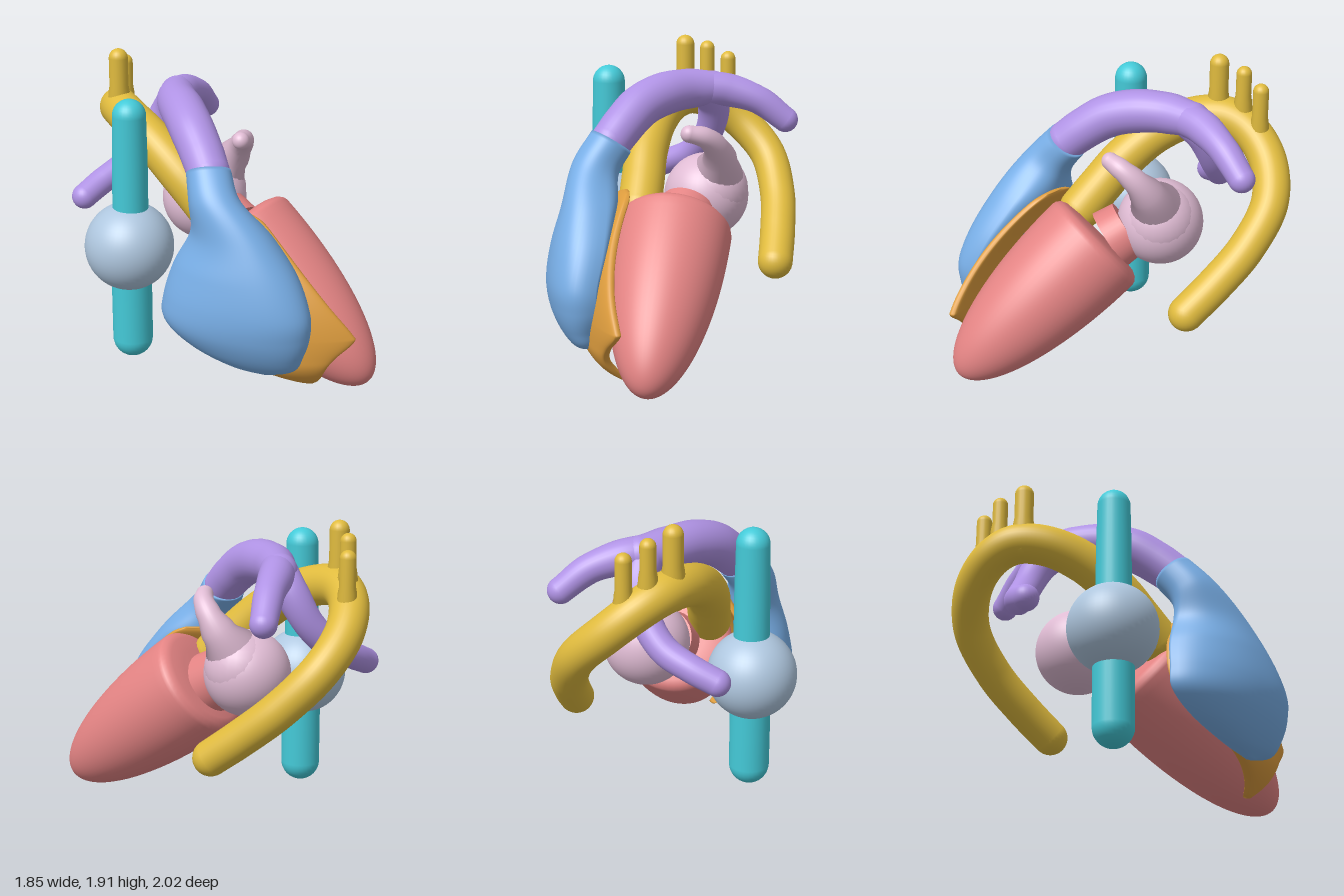
import * as THREE from 'three';
import { mergeGeometries } from 'three/addons/utils/BufferGeometryUtils.js';

const mat = (name, color) => {
  const m = new THREE.MeshStandardMaterial({ color });
  m.name = name;
  return m;
};

// Signed power, used to square off round sections
const spow = (v, p) => Math.sign(v) * Math.abs(v) ** p;

// Tapered tube with rounded ends through control points [x, y, z, radius]
function taperTube(points, steps = 60, sides = 28) {
  const curve = new THREE.CatmullRomCurve3(points.map(p => new THREE.Vector3(p[0], p[1], p[2])));
  const geo = new THREE.TubeGeometry(curve, steps, 1, sides);
  const pos = geo.attributes.position;
  const v = new THREE.Vector3();
  const last = points.length - 1;
  for (let i = 0; i <= steps; i++) {
    const c = curve.getPointAt(i / steps);
    const t = curve.getUtoTmapping(i / steps) * last;
    const k = Math.min(Math.floor(t), last - 1);
    const f = THREE.MathUtils.smoothstep(t - k, 0, 1);
    const r = THREE.MathUtils.lerp(points[k][3], points[k + 1][3], f);
    for (let j = 0; j <= sides; j++) {
      const n = i * (sides + 1) + j;
      v.fromBufferAttribute(pos, n).sub(c).multiplyScalar(r).add(c);
      pos.setXYZ(n, v.x, v.y, v.z);
    }
  }
  const caps = [points[0], points[last]].map(p =>
    new THREE.SphereGeometry(p[3], sides, 18).translate(p[0], p[1], p[2]));
  return mergeGeometries([geo, ...caps]);
}

// Closed skin over smoothly interpolated rows; place(row, angle) gives each point
function loft(rows, place, steps = 60, sides = 56) {
  const size = rows[0].length;
  const spline = new THREE.CubicInterpolant(rows.map((_, i) => i), rows.flat(), size, new Float32Array(size));
  const verts = [], idx = [];
  for (let i = 0; i <= steps; i++) {
    const row = Array.from(spline.evaluate((i / steps) * (rows.length - 1)));
    for (let j = 0; j < sides; j++) verts.push(...place(row, (j / sides) * Math.PI * 2));
  }
  const at = (i, j) => i * sides + (j % sides);
  for (let i = 0; i < steps; i++) {
    for (let j = 0; j < sides; j++) {
      idx.push(at(i, j), at(i, j + 1), at(i + 1, j), at(i, j + 1), at(i + 1, j + 1), at(i + 1, j));
    }
  }
  // end caps
  for (const i of [0, steps]) {
    const c = [0, 0, 0];
    for (let j = 0; j < sides; j++) for (let a = 0; a < 3; a++) c[a] += verts[at(i, j) * 3 + a] / sides;
    const n = verts.length / 3;
    verts.push(...c);
    for (let j = 0; j < sides; j++) {
      if (i === 0) idx.push(n, at(i, j + 1), at(i, j));
      else idx.push(n, at(i, j), at(i, j + 1));
    }
  }
  const geo = new THREE.BufferGeometry();
  geo.setAttribute('position', new THREE.Float32BufferAttribute(verts, 3));
  geo.setIndex(idx);
  geo.computeVertexNormals();
  return geo;
}

export function createModel() {
  const model = new THREE.Group();
  model.name = 'heart';
  const red = mat('chamber red', 0xe48484);
  const blue = mat('chamber blue', 0x78aee6);
  const purple = mat('artery purple', 0xb093e5);
  const yellow = mat('artery yellow', 0xe0bb3e);
  const teal = mat('vein teal', 0x44cad8);
  const pink = mat('atrium pink', 0xe0bcd4);
  const grey = mat('atrium grey blue', 0xafc7df);
  const orange = mat('septum orange', 0xde9d3e);

  const add = (name, geo, material, parent = model) => {
    const mesh = new THREE.Mesh(geo, material);
    mesh.name = name;
    parent.add(mesh);
    return mesh;
  };
  const up = new THREE.Vector3(0, 1, 0);

  // Left ventricle: long half ellipsoid with a soft-edged flat base
  const profile = [];
  for (let i = 0; i <= 36; i++) {
    const a = (i / 36) * Math.PI / 2;
    profile.push(new THREE.Vector2(0.363 * Math.sin(a), -1.19 * Math.cos(a)));
  }
  profile.push(...[[0.357, 0.025], [0.335, 0.05], [0.3, 0.066], [0.2, 0.078], [0, 0.082]]
    .map(p => new THREE.Vector2(...p)));
  const ventricle = add('leftVentricle', new THREE.LatheGeometry(profile, 56), red);
  ventricle.position.set(0.15, 0.79, 0.13);
  ventricle.quaternion.setFromUnitVectors(up, new THREE.Vector3(-0.59, 0.62, -0.51).normalize());

  // Valve collar between left ventricle and left atrium
  const collar = add('valveCollar', new THREE.CylinderGeometry(0.185, 0.2, 0.14, 40), red);
  collar.position.set(0.05, 0.85, -0.01);
  collar.quaternion.setFromUnitVectors(up, new THREE.Vector3(-0.5, 0.5, -0.65).normalize());

  // Right ventricle rows: y, centre x, half width, centre z, front depth, back depth, slope, tilt
  const rightVentricle = [
    [1.355, -0.11, 0.135, 0.43, 0.112, 0.112, 0, 0.68],
    [1.2, -0.085, 0.155, 0.545, 0.15, 0.13, 0.1, 0.4],
    [1.0, 0.015, 0.245, 0.58, 0.26, 0.11, 0.33, 0.05],
    [0.8, 0.03, 0.36, 0.62, 0.3, 0.08, 0.38, 0],
    [0.6, 0.03, 0.425, 0.67, 0.29, 0.06, 0.4, 0],
    [0.45, 0.03, 0.427, 0.68, 0.27, 0.06, 0.4, 0],
    [0.32, 0.08, 0.34, 0.72, 0.2, 0.06, 0.4, 0],
    [0.22, 0.165, 0.21, 0.77, 0.11, 0.05, 0.35, 0],
    [0.165, 0.2, 0.03, 0.79, 0.02, 0.02, 0.3, 0],
  ];
  add('rightVentricle', loft(rightVentricle, ([y, xc, w, zc, front, back, slope, tilt], a) => {
    const s = spow(Math.sin(a), 0.88), dx = w * spow(Math.cos(a), 0.94);
    const dz = slope * dx + (s > 0 ? front : back) * s;
    return [xc + dx, y + tilt * dz, zc + dz];
  }, 80), blue);

  // Septum: plate curved around the left ventricle; rows are y, left x, right x, half thickness
  const septum = [
    [1.08, 0.05, 0.15, 0.015], [1.04, -0.06, 0.22, 0.035], [0.95, -0.14, 0.3, 0.04],
    [0.8, -0.27, 0.42, 0.045], [0.6, -0.35, 0.58, 0.045], [0.43, -0.33, 0.72, 0.045],
    [0.38, -0.28, 0.73, 0.045], [0.28, -0.1, 0.62, 0.045], [0.2, 0.1, 0.565, 0.045],
    [0.1, 0.33, 0.54, 0.04], [0.03, 0.46, 0.52, 0.02],
  ];
  add('septum', loft(septum, ([y, xl, xr, h], a) => {
    const x = (xl + xr) / 2 + (xr - xl) / 2 * Math.cos(a);
    const curl = 0.5 * (y - 0.3) ** 2 + 2.5 * Math.max(0, 0.25 - y) ** 2 + 0.3 * (x - 0.4) ** 2;
    return [x, y, 0.75 + 0.18 * x - curl + h * spow(Math.sin(a), 0.5)];
  }, 70), orange);

  // Right atrium with the two great veins
  add('rightAtrium', new THREE.SphereGeometry(0.28, 48, 32).translate(-0.585, 0.8, 0.2), grey);
  add('upperVein', taperTube([[-0.575, 0.95, 0.2, 0.112], [-0.572, 1.3, 0.2, 0.11], [-0.57, 1.65, 0.2, 0.104]], 20), teal);
  add('lowerVein', taperTube([[-0.575, 0.17, 0.2, 0.127], [-0.575, 0.4, 0.2, 0.127], [-0.575, 0.65, 0.2, 0.127]], 20), teal);

  // Left atrium with its curled appendage
  const leftAtrium = new THREE.Group();
  leftAtrium.name = 'leftAtrium';
  model.add(leftAtrium);
  add('atriumBody', new THREE.SphereGeometry(0.273, 48, 32).translate(-0.07, 0.94, -0.242), pink, leftAtrium);
  add('appendage', taperTube([
    [-0.03, 0.98, -0.26, 0.235], [0.04, 1.1, -0.255, 0.17], [0.11, 1.21, -0.23, 0.11],
    [0.155, 1.31, -0.165, 0.078], [0.165, 1.375, -0.08, 0.065], [0.135, 1.4, 0.01, 0.055],
  ], 80), pink, leftAtrium);

  // Aorta: rising part, arch, descending part
  const aorta = new THREE.Group();
  aorta.name = 'aorta';
  model.add(aorta);
  add('aorticArch', taperTube([
    [-0.005, 0.94, 0.29, 0.138], [-0.12, 1.08, 0.2, 0.138], [-0.25, 1.23, 0.1, 0.137],
    [-0.41, 1.39, -0.07, 0.132], [-0.54, 1.48, -0.27, 0.128], [-0.6, 1.495, -0.46, 0.126],
    [-0.59, 1.43, -0.63, 0.122], [-0.5, 1.29, -0.79, 0.12], [-0.32, 1.1, -0.88, 0.118],
    [-0.1, 0.87, -0.82, 0.116], [0.1, 0.67, -0.69, 0.115], [0.255, 0.52, -0.57, 0.113],
  ], 110, 32), yellow, aorta);
  for (const [x, z, top, r] of [[-0.605, -0.4, 1.905, 0.061], [-0.6, -0.57, 1.855, 0.049], [-0.55, -0.705, 1.78, 0.05]]) {
    const base = z < -0.7 ? 1.37 : 1.47;
    add('archBranch', taperTube([
      [x, base, z, r + 0.035], [x, base + 0.14, z, r + 0.008], [x, base + 0.2, z, r], [x, top - r, z, r],
    ], 24, 20), yellow, aorta);
  }

  // Pulmonary artery: trunk rising out of the right ventricle, and two branches
  const pulmonary = new THREE.Group();
  pulmonary.name = 'pulmonaryArtery';
  model.add(pulmonary);
  add('trunk', taperTube([
    [-0.11, 1.353, 0.432, 0.13], [-0.14, 1.44, 0.33, 0.134], [-0.185, 1.54, 0.18, 0.138],
    [-0.22, 1.595, 0.0, 0.138], [-0.245, 1.61, -0.2, 0.13], [-0.23, 1.605, -0.38, 0.112],
  ]), purple, pulmonary);
  add('leftBranch', taperTube([
    [-0.235, 1.605, -0.34, 0.112], [-0.18, 1.59, -0.47, 0.108], [-0.08, 1.52, -0.65, 0.092],
    [0.0, 1.39, -0.805, 0.083],
  ]), purple, pulmonary);
  add('rightBranch', taperTube([
    [-0.24, 1.6, -0.34, 0.112], [-0.29, 1.48, -0.43, 0.105], [-0.4, 1.28, -0.465, 0.095],
    [-0.56, 1.12, -0.44, 0.09], [-0.73, 1.03, -0.35, 0.085], [-0.85, 0.965, -0.255, 0.082],
  ]), purple, pulmonary);

  return model;
}
